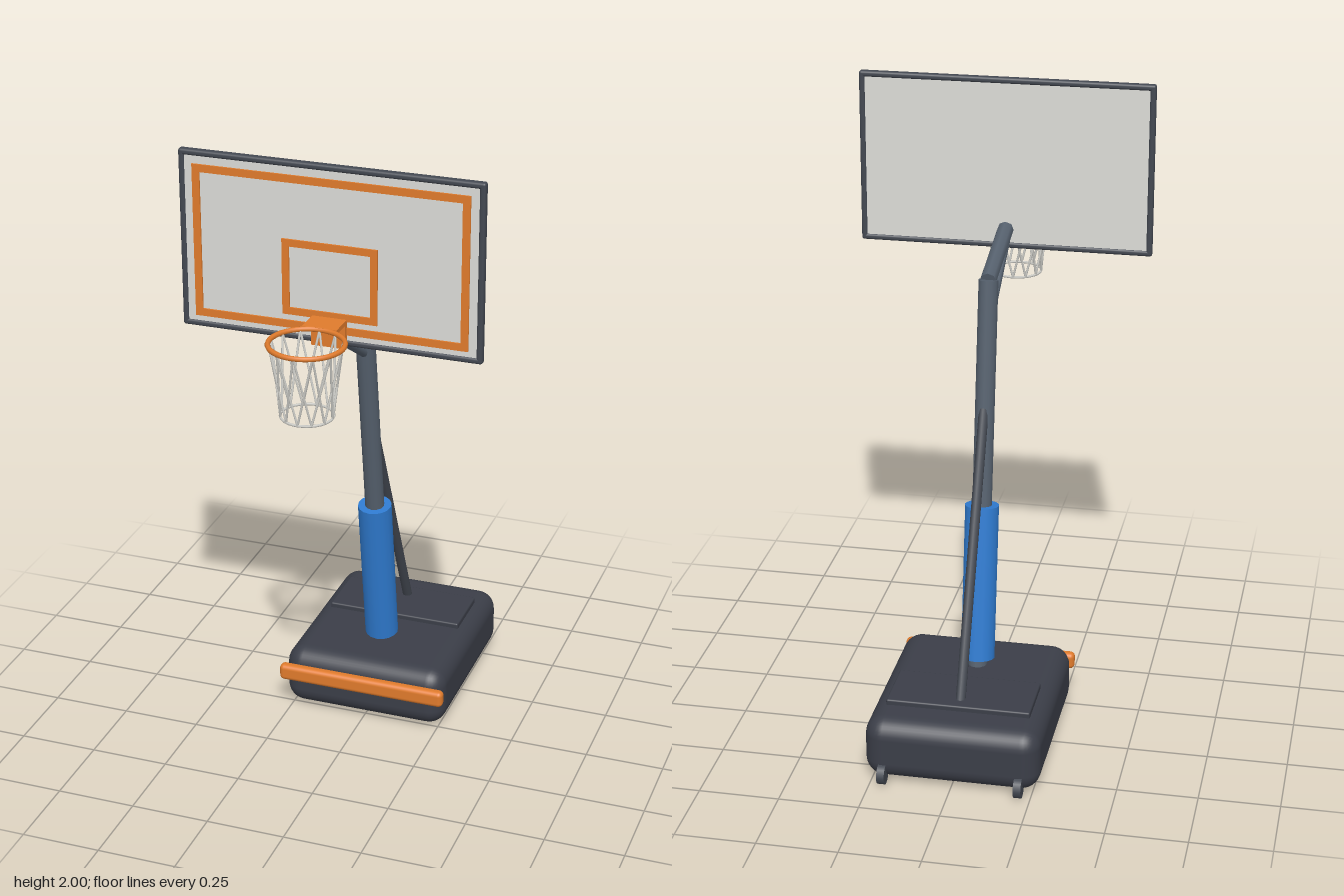
import * as THREE from 'three';
import { RoundedBoxGeometry } from 'three/addons/geometries/RoundedBoxGeometry.js';

const paint = (name, color, extra = {}) => {
  const m = new THREE.MeshStandardMaterial({ color, ...extra });
  m.name = name;
  return m;
};

export function createModel() {
  const model = new THREE.Group();
  model.name = 'basketballHoop';

  const basePaint = paint('charcoal', 0x3b3e48);
  const polePaint = paint('slate', 0x56616e);
  const poleFlat = polePaint;
  const framePaint = paint('darkFrame', 0x434851);
  const padPaint = paint('blue', 0x2f7bd0);
  const orange = paint('orange', 0xe07b2c);
  const board = paint('boardGrey', 0xdcdcd8);
  const netPaint = paint('netGrey', 0xcfcfca);

  const add = (name, geometry, material, x = 0, y = 0, z = 0, parent = model) => {
    const mesh = new THREE.Mesh(geometry, material);
    mesh.name = name;
    mesh.position.set(x, y, z);
    parent.add(mesh);
    return mesh;
  };
  const box = (name, w, h, d, material, x, y, z, parent) =>
    add(name, new THREE.BoxGeometry(w, h, d), material, x, y, z, parent);
  const rounded = (name, w, h, d, r, material, x, y, z, parent) =>
    add(name, new RoundedBoxGeometry(w, h, d, 4, r), material, x, y, z, parent);

  // Straight round bar between two points
  const bar = (name, a, b, r, sides, material, parent = model) => {
    const from = new THREE.Vector3(...a), to = new THREE.Vector3(...b);
    const dir = to.clone().sub(from);
    const mesh = add(name, new THREE.CylinderGeometry(r, r, dir.length(), sides), material, 0, 0, 0, parent);
    mesh.position.copy(from).add(to).multiplyScalar(0.5);
    mesh.quaternion.setFromUnitVectors(new THREE.Vector3(0, 1, 0), dir.normalize());
    return mesh;
  };

  // Rectangular outline with a hole, extruded towards the front
  const outline = (name, w, h, t, depth, material, y, z, parent) => {
    const rect = (P, a, b) => new P([[-a, -b], [a, -b], [a, b], [-a, b]].map(p => new THREE.Vector2(...p)));
    const shape = rect(THREE.Shape, w / 2, h / 2);
    shape.holes.push(rect(THREE.Path, w / 2 - t, h / 2 - t));
    return add(name, new THREE.ExtrudeGeometry(shape, { depth, bevelEnabled: false }), material, 0, y, z, parent);
  };

  // Ballast base with lid, wheels and front bumper
  rounded('base', 0.545, 0.2, 0.64, 0.06, basePaint, 0, 0.11, -0.283);
  rounded('baseLid', 0.45, 0.03, 0.198, 0.006, basePaint, 0, 0.212, -0.383);
  for (const side of [-1, 1]) {
    const wheel = add(side > 0 ? 'leftWheel' : 'rightWheel',
      new THREE.CylinderGeometry(0.033, 0.033, 0.024, 16), framePaint, side * 0.212, 0.034, -0.597);
    wheel.rotation.z = Math.PI / 2;
  }
  rounded('bumper', 0.56, 0.055, 0.036, 0.015, orange, 0, 0.137, 0.045);

  // Leaning pole, padding, rear brace and board arms
  const onPole = y => [0, y, -0.163 + 0.147 * (y - 0.225)];
  bar('pole', onPole(0.2), onPole(1.44), 0.031, 12, polePaint);
  bar('polePad', onPole(0.232), onPole(0.73), 0.054, 16, padPaint);
  bar('rearBrace', [0, 0.21, -0.437], [0, 1.14, -0.015], 0.0155, 10, framePaint);
  bar('upperArm', [0, 1.438, 0.01], [0, 1.512, 0.298], 0.026, 8, poleFlat);
  bar('lowerArm', [0, 1.3, 0.012], [0, 1.475, 0.298], 0.015, 8, poleFlat);

  // Backboard with dark frame and painted rectangles
  const backboard = new THREE.Group();
  backboard.name = 'backboard';
  model.add(backboard);
  const midY = 1.725, boardZ = 0.303;
  box('panel', 0.91, 0.53, 0.016, board, 0, midY, boardZ, backboard);
  for (const side of [-1, 1]) {
    rounded('frameRail', 0.932, 0.019, 0.025, 0.008, framePaint, 0, midY + side * 0.2655, boardZ, backboard);
    rounded('frameSide', 0.019, 0.55, 0.025, 0.008, framePaint, side * 0.4565, midY, boardZ, backboard);
  }
  outline('outerStripe', 0.846, 0.472, 0.023, 0.006, orange, 1.722, 0.3105, backboard);
  outline('targetStripe', 0.294, 0.234, 0.022, 0.006, orange, 1.645, 0.3105, backboard);

  // Rim and its bracket
  const hoop = new THREE.Group();
  hoop.name = 'hoop';
  model.add(hoop);
  const rimY = 1.528, rimZ = 0.507;
  box('bracketPlate', 0.106, 0.084, 0.02, orange, 0, 1.49, 0.321, hoop);
  box('bracketArm', 0.106, 0.014, 0.085, orange, 0, rimY, 0.358, hoop);
  const rim = add('rim', new THREE.TorusGeometry(0.111, 0.008, 8, 40), orange, 0, rimY, rimZ, hoop);
  rim.rotation.x = Math.PI / 2;

  // Net: two opposite families of slanted cords and a bottom ring
  const net = new THREE.Group();
  net.name = 'net';
  hoop.add(net);
  const cords = 12, step = Math.PI * 2 / cords, bottomY = 1.305;
  const ringPoint = (r, angle, y) => [r * Math.cos(angle), y, rimZ + r * Math.sin(angle)];
  for (let i = 0; i < cords; i++) {
    for (const twist of [-1, 1]) {
      bar('netCord', ringPoint(0.108, i * step, rimY), ringPoint(0.078, (i + twist) * step, bottomY),
        0.0036, 6, netPaint, net);
    }
  }
  const netRing = add('netRing', new THREE.TorusGeometry(0.078, 0.004, 6, 36), netPaint, 0, bottomY, rimZ, net);
  netRing.rotation.x = Math.PI / 2;

  return model;
}
